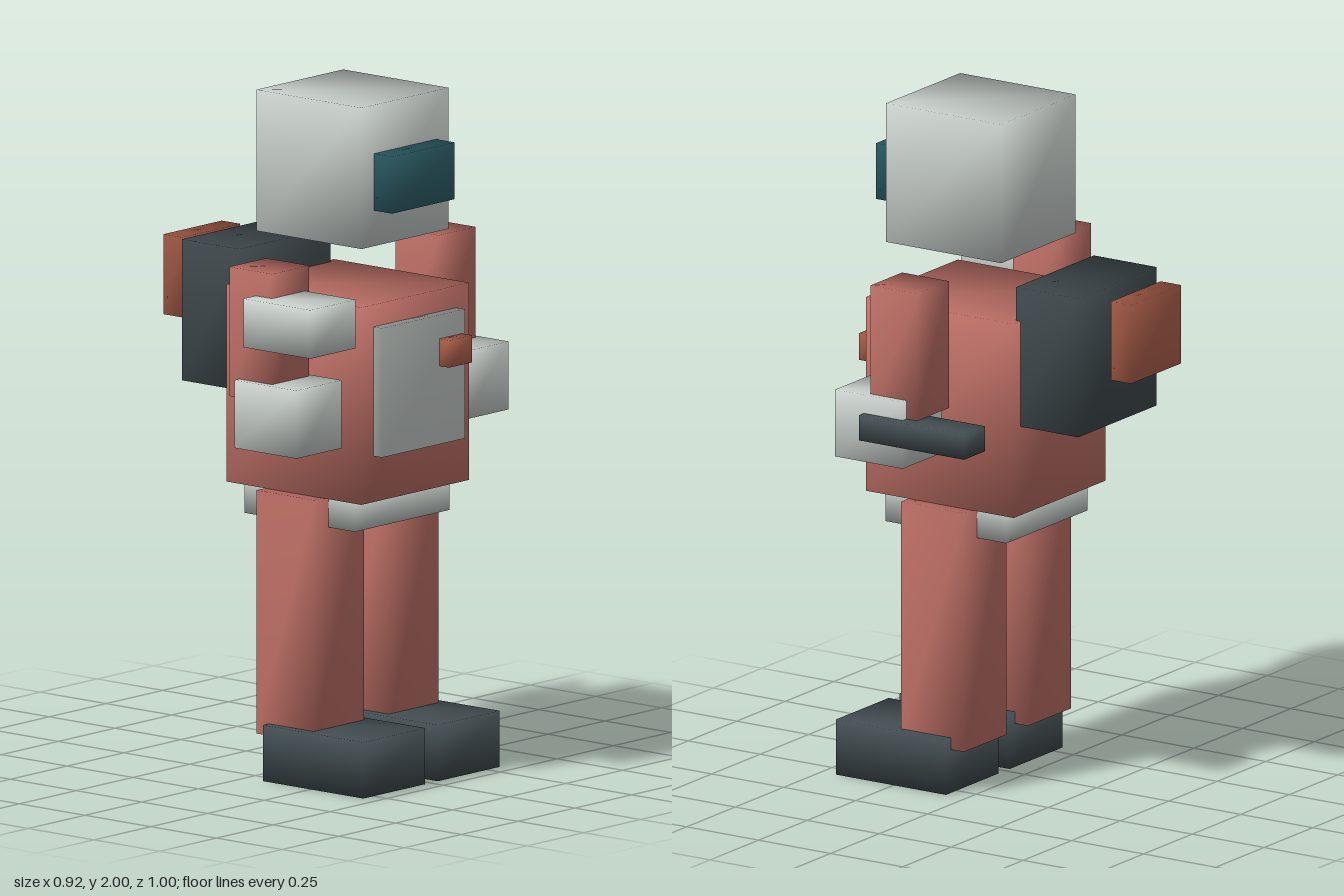
import * as THREE from 'three';
import { mergeVertices } from 'three/addons/utils/BufferGeometryUtils.js';

const material = (color) => new THREE.MeshStandardMaterial({ color });

export function createModel() {
  const model = new THREE.Group();
  model.name = 'blockRobot';

  const salmon = material(0xc5746a);
  const white = material(0xcdd4d0);
  const dark = material(0x434e52);
  const teal = material(0x2f626c);
  const orange = material(0xb8664f);

  // Box given by its extents, with corners shared so shading runs smoothly over the edges
  function block(name, mat, [x0, x1], [y0, y1], [z0, z1]) {
    let geometry = new THREE.BoxGeometry(x1 - x0, y1 - y0, z1 - z0);
    geometry.deleteAttribute('normal');
    geometry.deleteAttribute('uv');
    geometry = mergeVertices(geometry);
    geometry.computeVertexNormals();
    const mesh = new THREE.Mesh(geometry, mat);
    mesh.name = name;
    mesh.position.set((x0 + x1) / 2, (y0 + y1) / 2, (z0 + z1) / 2);
    model.add(mesh);
  }

  // Head, looking along +x
  block('head', white, [-0.05, 0.35], [1.585, 2], [-0.195, 0.187]);
  block('visor', teal, [0.345, 0.42], [1.69, 1.857], [-0.142, 0.133]);

  // Torso with chest panel, button and hips
  block('torso', salmon, [-0.125, 0.388], [0.845, 1.425], [-0.242, 0.232]);
  block('chestPanel', white, [0.37, 0.42], [0.98, 1.36], [-0.187, 0.178]);
  block('chestButton', orange, [0.415, 0.457], [1.21, 1.29], [-0.175, -0.075]);
  block('hips', white, [-0.08, 0.34], [0.755, 0.87], [-0.213, 0.205]);

  // Backpack and the plate hovering behind it
  block('backpack', dark, [-0.325, -0.108], [1.11, 1.525], [-0.206, 0.196]);
  block('backPlate', orange, [-0.46, -0.39], [1.275, 1.51], [-0.135, 0.122]);

  // Limbs, mirrored about the body's slightly offset middle plane
  const middle = -0.005;
  for (const side of [1, -1]) {
    const label = side > 0 ? 'Near' : 'Far';
    const span = (a, b) => [middle + side * a, middle + side * b].sort((p, q) => p - q);
    block('arm' + label, salmon, [0.068, 0.23], [1.155, 1.535], span(0.285, 0.448));
    block('glove' + label, white, [0.105, 0.34], [1.01, 1.21], span(0.268, 0.467));
    block('leg' + label, salmon, [0.022, 0.24], [0.13, 0.845], span(0.055, 0.275));
    block('boot' + label, dark, [0.068, 0.45], [0, 0.165], span(0.028, 0.3));
  }

  // Forearm gauntlet on one arm, bar held on the other
  block('gauntlet', white, [0.168, 0.422], [1.32, 1.463], [0.297, 0.497]);
  block('handBar', dark, [-0.125, 0.24], [1.08, 1.155], [-0.498, -0.39]);

  return model;
}
